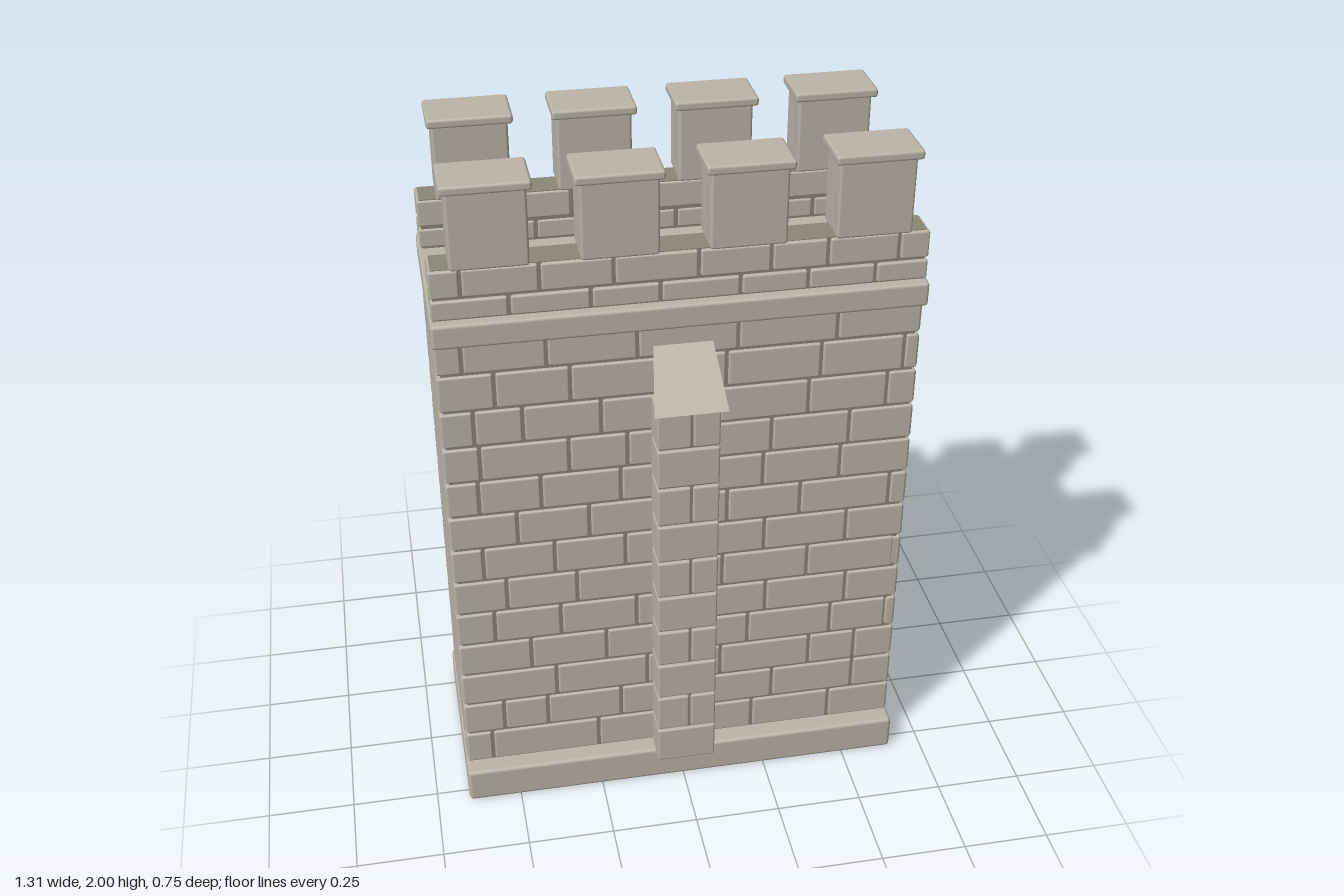
import * as THREE from 'three';
import { RoundedBoxGeometry } from 'three/addons/geometries/RoundedBoxGeometry.js';
import { mergeGeometries } from 'three/addons/utils/BufferGeometryUtils.js';

const stone = new THREE.MeshStandardMaterial({ color: 0xbbb6a8 });
stone.name = 'stone';
const mortar = new THREE.MeshStandardMaterial({ color: 0x8b8878 });
mortar.name = 'mortar';
const slopeStone = new THREE.MeshStandardMaterial({ color: 0xbbb6a8, side: THREE.DoubleSide });
slopeStone.name = 'slope stone';

// box given by its limits, with softened edges when r > 0
function block(x0, x1, y0, y1, z0, z1, r = 0.006) {
  const w = x1 - x0, h = y1 - y0, d = z1 - z0;
  const g = r > 0 ? new RoundedBoxGeometry(w, h, d, 1, r) : new THREE.BoxGeometry(w, h, d).toNonIndexed();
  return g.translate((x0 + x1) / 2, (y0 + y1) / 2, (z0 + z1) / 2);
}

function add(parent, name, geos, material) {
  const mesh = new THREE.Mesh(Array.isArray(geos) ? mergeGeometries(geos) : geos, material);
  mesh.name = name;
  parent.add(mesh);
  return mesh;
}

// one course of bricks facing +z, cut at the given joints
function course(out, half, joints, y0, y1, z0, z1, gap) {
  const cuts = [-half - gap / 2, ...joints, half + gap / 2];
  for (let i = 0; i < cuts.length - 1; i++) {
    out.push(block(cuts[i] + gap / 2, cuts[i + 1] - gap / 2, y0 + gap / 2, y1 - gap / 2, z0, z1));
  }
}

// vertical joints of the long walls, lowest course first
const wallJoints = [
  [-0.57, -0.25, 0.02, 0.22, 0.46], [-0.53, -0.4, -0.18, 0.28, 0.53],
  [-0.37, -0.1, 0.12, 0.39, 0.53], [-0.44, -0.22, 0.2, 0.45, 0.62],
  [-0.54, -0.35, -0.13, 0.25, 0.49], [-0.5, -0.3, 0.12, 0.37, 0.63],
  [-0.56, -0.36, -0.16, 0.24, 0.48], [-0.46, -0.26, 0.13, 0.34, 0.6],
  [-0.56, -0.39, -0.17, 0.23, 0.45], [-0.55, -0.31, -0.15, 0.25, 0.47],
  [-0.56, -0.43, -0.22, 0.1, 0.35, 0.57], [-0.5, -0.3, 0.12, 0.38, 0.61],
  [-0.58, -0.36, -0.12, 0.15, 0.42],
];
const sideJoints = [[-0.12, 0.12], [-0.16, 0.06], [-0.02, 0.14], [-0.17, 0.03], [-0.11, 0.14]];
const ROW = 0.112, BASE = 0.11;

export function createModel() {
  const tower = new THREE.Group();
  tower.name = 'castleWall';

  // plinth, mortar core and string course
  add(tower, 'plinth', block(-0.655, 0.655, 0, 0.11, -0.298, 0.298, 0.012), stone);
  add(tower, 'mortarCore', block(-0.638, 0.638, 0.05, 1.57, -0.242, 0.242, 0), mortar);
  add(tower, 'stringCourse', block(-0.655, 0.655, 1.55, 1.62, -0.28, 0.28, 0.01), stone);

  // brick facing of the four walls
  for (const s of [0, 1]) {
    const long = [], short = [];
    for (let r = 0; r < 13; r++) {
      const y0 = BASE + r * ROW, y1 = Math.min(y0 + ROW, 1.558);
      course(long, 0.648, wallJoints[r], y0, y1, 0.22, 0.25, 0.008);
      course(short, 0.249, sideJoints[(r + s * 2) % 5], y0, y1, 0.62, 0.65, 0.015);
    }
    add(tower, s ? 'backBricks' : 'frontBricks', long, stone).rotation.y = s * Math.PI;
    add(tower, s ? 'rightBricks' : 'leftBricks', short, stone).rotation.y = Math.PI / 2 + s * Math.PI;
  }

  for (const s of [0, 1]) {
    const side = new THREE.Group();
    side.name = s ? 'backBattlement' : 'frontBattlement';
    side.rotation.y = s * Math.PI;
    tower.add(side);

    // parapet: a mortar strip faced with two courses inside and out
    add(side, 'parapetCore', block(-0.642, 0.642, 1.6, 1.764, 0.165, 0.25, 0), mortar);
    const bricks = [];
    [[1.62, 1.682], [1.682, 1.766]].forEach(([y0, y1], r) => {
      const joints = r ? [-0.57, -0.37, -0.18, 0.04, 0.23, 0.38, 0.57] : [-0.45, -0.24, -0.06, 0.15, 0.33, 0.51];
      course(bricks, 0.65, joints, y0, y1, 0.242, 0.26, 0.008);
      course(bricks, 0.65, joints, y0, y1, 0.16, 0.172, 0.008);
      for (const e of [-1, 1]) {
        bricks.push(block(e * 0.64 - 0.008, e * 0.64 + 0.008, y0 + 0.004, y1 - 0.004, 0.166, 0.255, 0.004));
      }
    });
    add(side, 'parapetBricks', bricks, stone);

    // merlons with cap slabs
    const merlons = [], caps = [];
    for (const x of [-0.495, -0.165, 0.165, 0.495]) {
      merlons.push(block(x - 0.101, x + 0.101, 1.765, 1.985, 0.147, 0.272, 0.008));
      caps.push(block(x - 0.114, x + 0.114, 1.974, 2, 0.132, 0.286, 0.008));
    }
    add(side, 'merlons', merlons, stone);
    add(side, 'merlonCaps', caps, stone);

    // buttress: single and paired stones in turn
    add(side, 'buttressCore', block(-0.08, 0.08, 0.105, 1.335, 0.23, 0.33, 0), mortar);
    const stones = [];
    for (let r = 0; r < 10; r++) {
      const y = 0.1 + r * 0.124;
      course(stones, 0.086, r % 2 ? [0.01] : [], y, y + 0.124, 0.235, 0.34, 0.006);
    }
    add(side, 'buttressStones', stones, stone);

    // sloping weathering slab above the buttress
    const slab = new THREE.PlaneGeometry(1, 1);
    const p = slab.attributes.position;
    for (let i = 0; i < 4; i++) {
      const top = p.getY(i) > 0, sx = Math.sign(p.getX(i));
      p.setXYZ(i, sx * (top ? 0.08 : 0.1), top ? 1.49 : 1.345, top ? 0.25 : 0.375);
    }
    slab.computeVertexNormals();
    add(side, 'buttressSlope', slab, slopeStone);
  }
  return tower;
}
